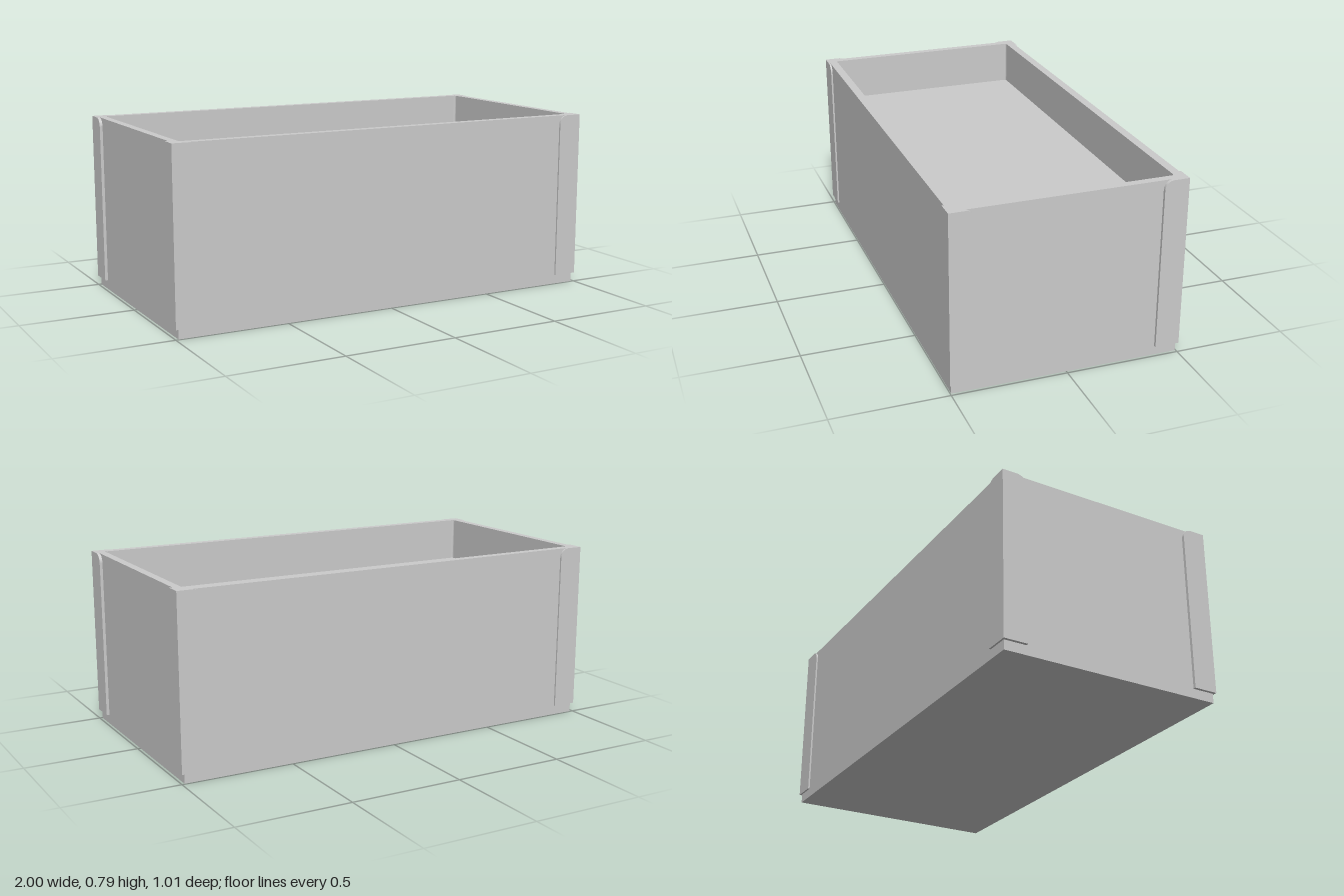
import * as THREE from 'three';

const H = 0.793;                       // overall height
const BODY_X = 0.987, BODY_Z = 0.496;  // body half sizes
const OUT_X = 1.0, OUT_Z = 0.504;      // half sizes over the corner guards
const IN_X = 0.952, IN_Z = 0.458;      // half sizes of the opening
const FLOOR_Y = 0.593;                 // top of the sunken panel
const GUARD_Y = 0.042, ROUND = 0.036;  // guard bottom edge, rounded top corner

function roundedRect(path, hx, hz, r) {
  path.moveTo(-hx + r, -hz);
  path.lineTo(hx - r, -hz).absarc(hx - r, -hz + r, r, -Math.PI / 2, 0);
  path.lineTo(hx, hz - r).absarc(hx - r, hz - r, r, 0, Math.PI / 2);
  path.lineTo(-hx + r, hz).absarc(-hx + r, hz - r, r, Math.PI / 2, Math.PI);
  path.lineTo(-hx, -hz + r).absarc(-hx + r, -hz + r, r, Math.PI, Math.PI * 1.5);
  return path;
}

// Upright plate from u = outer to u = inner, its inner top corner rounded
function plateGeometry(outer, inner, depth) {
  const s = Math.sign(outer);
  const shape = new THREE.Shape();
  shape.moveTo(outer, GUARD_Y);
  shape.lineTo(inner, GUARD_Y);
  shape.lineTo(inner, H - ROUND);
  shape.quadraticCurveTo(inner + s * ROUND * 0.12, H - ROUND * 0.12, inner + s * ROUND, H);
  shape.lineTo(outer, H);
  return new THREE.ExtrudeGeometry(shape, { depth, bevelEnabled: false, curveSegments: 10 });
}

export function createModel() {
  const model = new THREE.Group();
  model.name = 'box';
  const material = new THREE.MeshStandardMaterial({ color: 0xcccccc });
  const add = (parent, name, geometry) => {
    const mesh = new THREE.Mesh(geometry, material);
    mesh.name = name;
    parent.add(mesh);
    return mesh;
  };

  // Four walls as one frame
  const frame = new THREE.Shape([
    new THREE.Vector2(-BODY_X, -BODY_Z), new THREE.Vector2(BODY_X, -BODY_Z),
    new THREE.Vector2(BODY_X, BODY_Z), new THREE.Vector2(-BODY_X, BODY_Z),
  ]);
  frame.holes.push(roundedRect(new THREE.Path(), IN_X, IN_Z, 0.01));
  const walls = new THREE.ExtrudeGeometry(frame, { depth: H, bevelEnabled: false, curveSegments: 4 });
  add(model, 'walls', walls.rotateX(-Math.PI / 2));

  // Solid filling up to the sunken panel
  add(model, 'filling', new THREE.BoxGeometry(IN_X * 2, FLOOR_Y, IN_Z * 2).translate(0, FLOOR_Y / 2, 0));

  // L-shaped corner guards: one plate on the long wall, one on the short wall
  const tx = OUT_X - BODY_X, tz = OUT_Z - BODY_Z;
  for (const sx of [-1, 1]) {
    for (const sz of [-1, 1]) {
      const guard = new THREE.Group();
      guard.name = `${sz > 0 ? 'front' : 'back'}${sx > 0 ? 'Left' : 'Right'}CornerGuard`;
      const long = plateGeometry(sx * OUT_X, sx * 0.89, tz);
      add(guard, 'longSidePlate', long.translate(0, 0, sz > 0 ? BODY_Z : -OUT_Z));
      const short = plateGeometry(sz * BODY_Z, sz * 0.397, tx).rotateY(-Math.PI / 2);
      add(guard, 'shortSidePlate', short.translate(sx > 0 ? OUT_X : -BODY_X, 0, 0));
      model.add(guard);
    }
  }
  return model;
}
